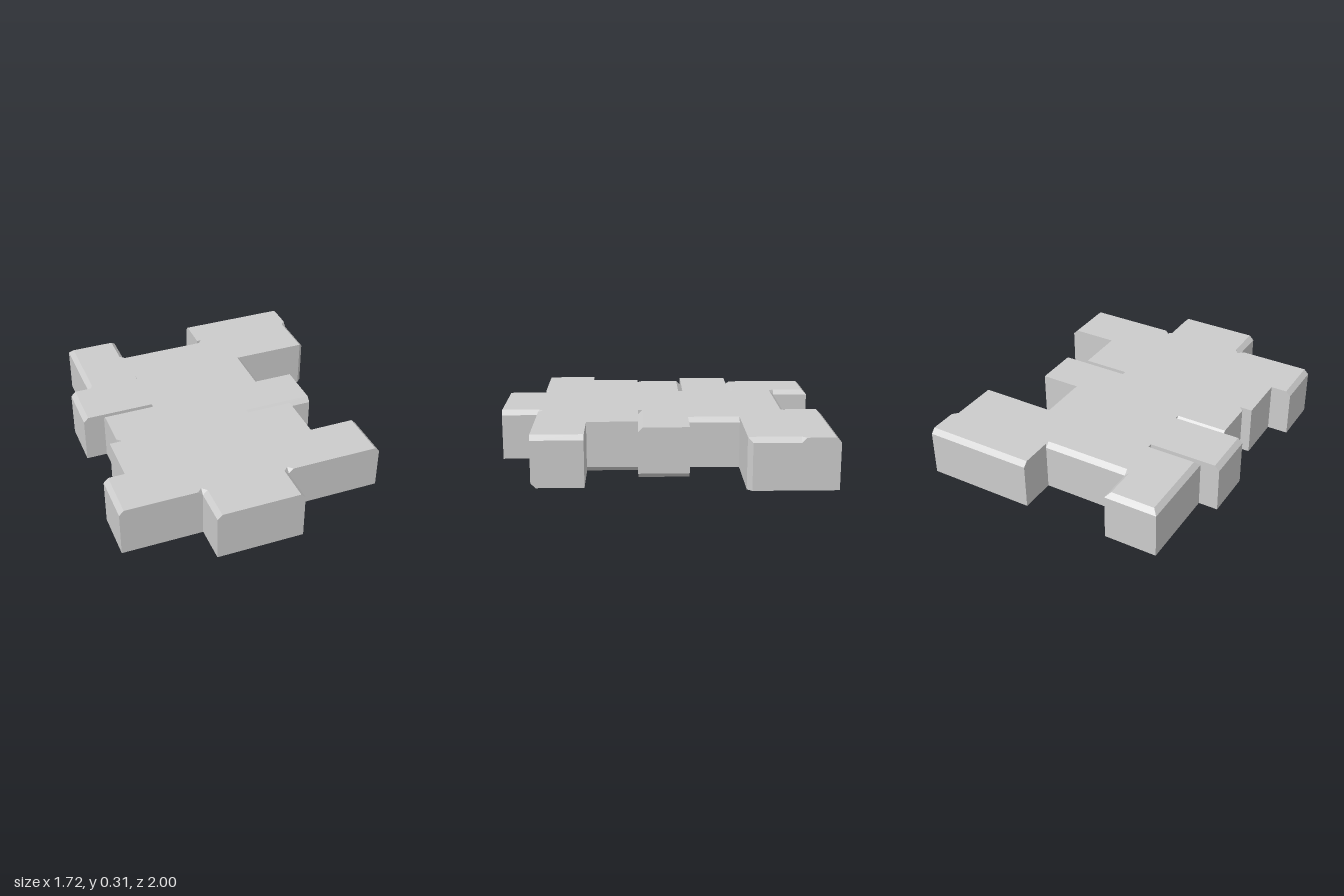
import * as THREE from 'three';
import { ConvexGeometry } from 'three/addons/geometries/ConvexGeometry.js';

const HEIGHT = 0.312;
const BEVEL = 0.029;

// Box from x0..x1, z0..z1 with edges or corners cut off; each cut is the
// direction it faces, e.g. [1, 1, 0] is the top edge on the +x side.
function bevelledBlock(x0, x1, z0, z1, cuts) {
  const support = ([x, y, z]) =>
    x * (x > 0 ? x1 : x0) + (y > 0 ? y * HEIGHT : 0) + z * (z > 0 ? z1 : z0);
  const sides = [[1, 0, 0], [-1, 0, 0], [0, 1, 0], [0, -1, 0], [0, 0, 1], [0, 0, -1]];
  const planes = [
    ...sides.map((n) => ({ n: new THREE.Vector3(...n), d: support(n) })),
    ...cuts.map((n) => ({ n: new THREE.Vector3(...n), d: support(n) - BEVEL })),
  ];
  // Corners are the meeting points of three planes that lie inside all others
  const corners = new Map();
  for (let i = 0; i < planes.length; i++)
    for (let j = i + 1; j < planes.length; j++)
      for (let k = j + 1; k < planes.length; k++) {
        const [a, b, c] = [planes[i], planes[j], planes[k]];
        const bc = b.n.clone().cross(c.n);
        const det = a.n.dot(bc);
        if (Math.abs(det) < 1e-6) continue;
        const p = bc.multiplyScalar(a.d)
          .addScaledVector(c.n.clone().cross(a.n), b.d)
          .addScaledVector(a.n.clone().cross(b.n), c.d)
          .divideScalar(det);
        if (planes.every((q) => q.n.dot(p) <= q.d + 1e-6))
          corners.set(p.toArray().map((v) => Math.round(v * 1e4)).join(), p);
      }
  return new ConvexGeometry([...corners.values()]);
}

export function createModel() {
  const group = new THREE.Group();
  const material = new THREE.MeshStandardMaterial({ color: 0xcccccc });

  // Top edges named by the side they face
  const LEFT = [1, 1, 0], RIGHT = [-1, 1, 0], FRONT = [0, 1, 1], BACK = [0, 1, -1];

  const blocks = [
    // Central spine and front tab
    ['spine', -0.36, 0.18, -0.775, 0.77, [BACK, [-1, 1, 1], [1, 1, 1]]],
    ['frontTab', -0.36, 0.18, 0.77, 1, [LEFT, RIGHT, [1, -1, -1]]],
    // Arms on the -x side, back to front
    ['rightBackTip', -0.69, -0.36, -1, -0.775, [BACK, LEFT, RIGHT]],
    ['rightBackArm', -0.69, -0.36, -0.775, -0.47, [RIGHT, FRONT, [1, 1, -1]]],
    ['rightUpperArm', -0.81, -0.36, -0.47, -0.155, [RIGHT]],
    ['rightMiddleArm', -0.68, -0.36, -0.155, 0.15, [BACK, [0, -1, 1], [-1, 0, 1]]],
    ['rightLowerArm', -0.73, -0.36, 0.15, 0.46, []],
    ['rightFrontArm', -0.86, -0.36, 0.46, 0.77, [RIGHT, [1, 1, 1]]],
    // Arms on the +x side, back to front
    ['leftBackTip', 0.18, 0.86, -1, -0.775, [BACK, [1, 1, 1]]],
    ['leftBackArm', 0.18, 0.86, -0.775, -0.47, [LEFT, [1, 0, 1], [-1, 1, -1]]],
    ['leftUpperArm', 0.18, 0.39, -0.47, -0.155, [LEFT]],
    ['leftMiddleArm', 0.18, 0.61, -0.155, 0.15, [FRONT, [1, -1, 0]]],
    ['leftLowerArm', 0.18, 0.47, 0.15, 0.46, [[1, -1, 0]]],
    ['leftFrontArm', 0.18, 0.78, 0.46, 0.77, [LEFT, [0, -1, 1], [-1, 1, 1]]],
  ];

  for (const [name, x0, x1, z0, z1, cuts] of blocks) {
    const mesh = new THREE.Mesh(bevelledBlock(x0, x1, z0, z1, cuts), material);
    mesh.name = name;
    group.add(mesh);
  }
  return group;
}
